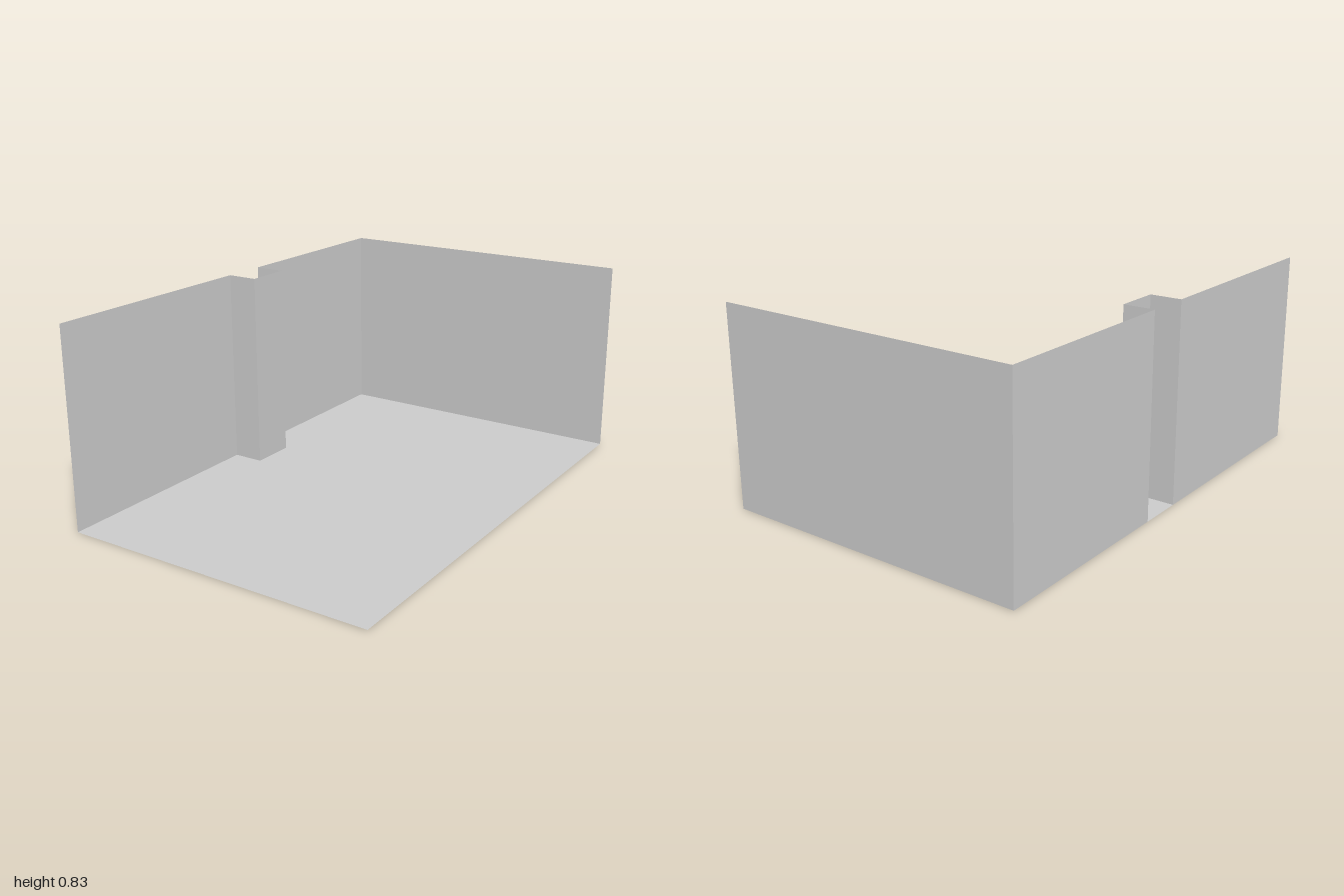
import * as THREE from 'three';

const W = 1.333, D = 2, H = 0.833;

export function createModel() {
  const group = new THREE.Group();
  const material = new THREE.MeshStandardMaterial({ color: 0xcccccc, side: THREE.DoubleSide, flatShading: true });

  // Upright sheet standing on the ground between two [x, z] points
  function panel(name, [x0, z0], [x1, z1], parent) {
    const mesh = new THREE.Mesh(new THREE.PlaneGeometry(Math.hypot(x1 - x0, z1 - z0), H), material);
    mesh.name = name;
    mesh.position.set((x0 + x1) / 2, H / 2, (z0 + z1) / 2);
    mesh.rotation.y = -Math.atan2(z1 - z0, x1 - x0);
    parent.add(mesh);
  }

  // Floor
  const floor = new THREE.Mesh(new THREE.PlaneGeometry(W, D).rotateX(-Math.PI / 2), material);
  floor.name = 'floor';
  group.add(floor);

  // Back wall
  const x = -W / 2, inner = x + 0.133;
  panel('backWall', [x, -D / 2], [W / 2, -D / 2], group);

  // Side wall, stepping inward around a hollow pillar
  const sideWall = new THREE.Group();
  sideWall.name = 'sideWall';
  const path = [[x, 1], [x, 0.033], [inner, 0.033], [inner, -0.16], [x, -0.16], [x, -1]];
  const names = ['frontWallSection', 'pillarFront', 'pillarFace', 'pillarBack', 'rearWallSection'];
  names.forEach((name, i) => panel(name, path[i], path[i + 1], sideWall));
  group.add(sideWall);

  return group;
}
